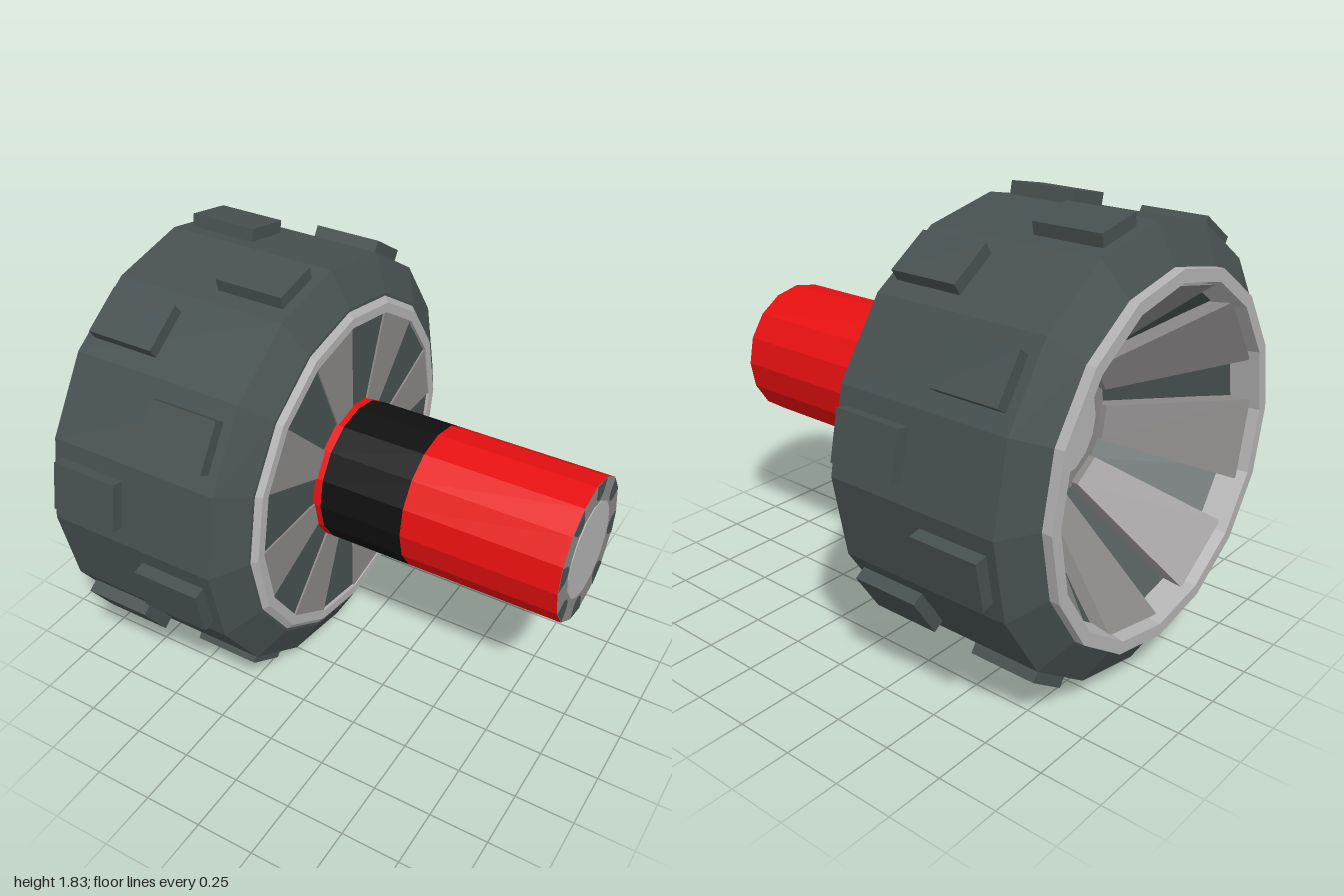
import * as THREE from 'three';

const mat = (name, color) => {
  const m = new THREE.MeshStandardMaterial({ color });
  m.name = name;
  return m;
};

export function createModel() {
  const rubber = mat('dark rubber', 0x475050);
  const light = mat('light grey', 0xb2b2b2);
  const grey = mat('spoke grey', 0x898686);
  const red = mat('red', 0xe81010);
  const black = mat('black', 0x101010);

  const model = new THREE.Group();
  const wheel = new THREE.Group();
  wheel.name = 'wheelAndAxle';
  wheel.position.y = 0.922;
  model.add(wheel);

  const STEP = Math.PI / 8; // sixteen-sided throughout
  const add = (name, geometry, material) => {
    const flat = geometry.index ? geometry.toNonIndexed() : geometry;
    flat.computeVertexNormals();
    const mesh = new THREE.Mesh(flat, material);
    mesh.name = name;
    wheel.add(mesh);
    return mesh;
  };
  // Faceted ring about the x axis, profile given as [radius, x]
  const ring = (name, profile, material) => add(name,
    new THREE.LatheGeometry(profile.map(p => new THREE.Vector2(...p)), 16).rotateZ(-Math.PI / 2), material);
  // Wedge-shaped block between two radii, leaning along x
  const wedge = (name, r0, r1, x0, x1, thick, mid, arc, material) => {
    const g = new THREE.BoxGeometry(1, 1, 1);
    const p = g.attributes.position;
    for (let i = 0; i < p.count; i++) {
      const u = p.getX(i) + 0.5;
      const a = mid + p.getY(i) * arc;
      const r = THREE.MathUtils.lerp(r0, r1, u);
      const x = THREE.MathUtils.lerp(x0, x1, u) + (p.getZ(i) + 0.5) * thick;
      p.setXYZ(i, x, r * Math.sin(a), -r * Math.cos(a));
    }
    return add(name, g, material);
  };

  // Tyre and dark wheel core with its dish
  ring('tyre', [[0.7, -0.96], [0.73, -0.96], [0.88, -0.88], [0.88, -0.14], [0.735, -0.06], [0.69, -0.06]], rubber);
  ring('wheelCore', [[0, -0.45], [0.3, -0.45], [0.68, -0.89], [0.68, -0.055], [0, -0.055]], rubber);

  // Rims on both sides
  ring('outerRim', [[0.66, -0.88], [0.68, -1], [0.73, -1], [0.73, -0.95]], light);
  ring('innerRim', [[0.735, -0.07], [0.7, -0.04], [0.66, -0.04], [0.66, -0.06]], light);

  // Hub at the bottom of the dish
  ring('hubRing', [[0, -0.5], [0.3, -0.5], [0.3, -0.42]], grey);
  ring('hubCap', [[0, -0.53], [0.2, -0.53], [0.2, -0.48]], light);

  // Tread lugs, alternating between two rows
  for (let i = 0; i < 16; i++) {
    const a = (i + 0.5) * STEP;
    const x = i % 2 ? -0.695 : -0.325;
    const lug = add('treadLug', new THREE.BoxGeometry(0.29, 0.09, 0.2), rubber);
    lug.position.set(x, 0.87 * Math.cos(a), 0.87 * Math.sin(a));
    lug.rotation.x = a;
  }

  // Spokes on the flat side and in the dish, notches on the axle end
  const notch = new THREE.Shape();
  notch.moveTo(0.29, -0.052);
  notch.lineTo(0.29, 0.052);
  notch.lineTo(0.255, 0.042);
  notch.absarc(0.255, 0, 0.042, Math.PI / 2, Math.PI * 1.5, false);
  for (let i = 0; i < 8; i++) {
    const mid = STEP * (2 * i + 0.5);
    wedge('flatSpoke', 0.25, 0.665, -0.054, -0.054, 0.008, mid, STEP, grey);
    wedge('dishSpoke', 0.28, 0.67, -0.53, -0.96, 0.08, mid, STEP * 1.3, grey);
    add('axleNotch', new THREE.ShapeGeometry(notch, 8).rotateZ(mid + STEP).rotateY(Math.PI / 2)
      .translate(0.9985, 0, 0), rubber);
  }

  // Axle: red with a black band, and a grey end
  const R = 0.297;
  ring('axleCollar', [[R, -0.06], [R, -0.02]], red);
  ring('axleBand', [[R, -0.02], [R, 0.34]], black);
  ring('axleGrip', [[R, 0.34], [R, 0.997]], red);
  ring('axleEnd', [[R, 0.996], [0, 0.996]], grey);
  ring('axleCap', [[0.2, 0.996], [0.2, 1], [0, 1]], light);

  return model;
}
